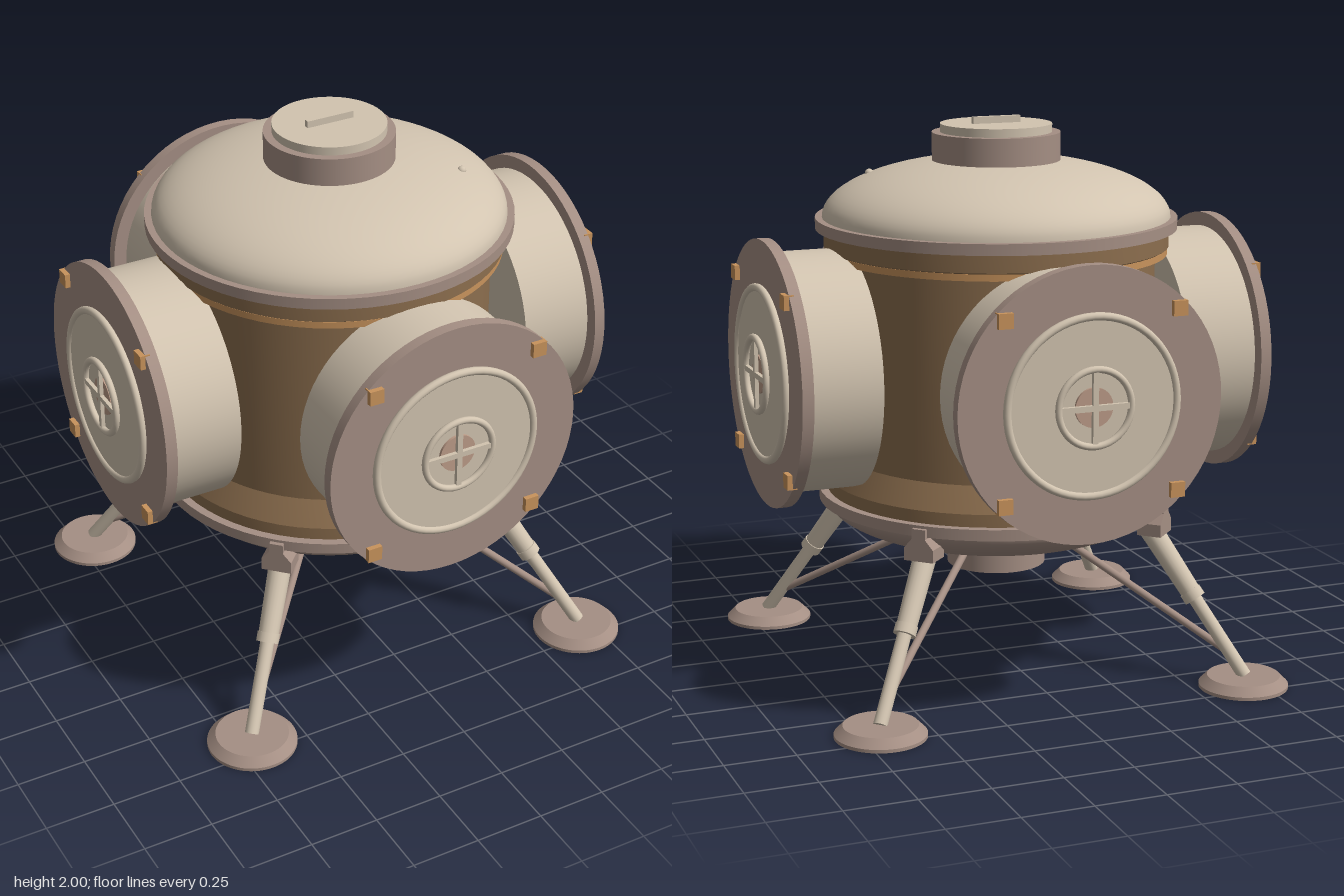
import * as THREE from 'three';
import { toCreasedNormals } from 'three/addons/utils/BufferGeometryUtils.js';

const material = (name, color) => {
  const m = new THREE.MeshStandardMaterial({ color });
  m.name = name;
  return m;
};

export function createModel() {
  const cream = material('cream', 0xd2c4b0);
  const mauve = material('mauve', 0xa58f84);
  const brown = material('brown', 0x8c6e4e);
  const copper = material('copper', 0xc8935c);
  const rose = material('rose', 0xbd9c88);

  const model = new THREE.Group();
  model.name = 'landerHabitat';

  const add = (parent, name, geometry, mat, x = 0, y = 0, z = 0) => {
    const mesh = new THREE.Mesh(geometry, mat);
    mesh.name = name;
    mesh.position.set(x, y, z);
    parent.add(mesh);
    return mesh;
  };
  // Upright cylinder between two heights
  const drum = (parent, name, r, y0, y1, mat, rTop = r) =>
    add(parent, name, new THREE.CylinderGeometry(rTop, r, y1 - y0, 64), mat, 0, (y0 + y1) / 2, 0);
  // Disc facing +z between two depths
  const disc = (parent, name, r, z0, z1, mat) =>
    add(parent, name, new THREE.CylinderGeometry(r, r, z1 - z0, 64).rotateX(Math.PI / 2), mat, 0, 0, (z0 + z1) / 2);
  // Rod between two points
  const rod = (parent, name, a, b, rA, rB, mat) => {
    const from = new THREE.Vector3(...a), dir = new THREE.Vector3(...b).sub(from);
    const mesh = add(parent, name, new THREE.CylinderGeometry(rB, rA, dir.length(), 20), mat);
    mesh.position.copy(from).addScaledVector(dir, 0.5);
    mesh.quaternion.setFromUnitVectors(new THREE.Vector3(0, 1, 0), dir.normalize());
  };
  const lathe = (points) => new THREE.LatheGeometry(points.map(([r, y]) => new THREE.Vector2(r, y)), 64);

  // Hull with flared lower and upper collars
  add(model, 'hull', toCreasedNormals(lathe([
    [0.62, 0.63], [0.62, 0.7], [0.572, 0.79], [0.572, 1.51], [0.62, 1.54], [0.62, 1.63],
  ]), 0.4), brown);
  drum(model, 'hullStripe', 0.615, 1.512, 1.536, copper);
  drum(model, 'lowerRim', 0.65, 0.615, 0.655, mauve);
  drum(model, 'upperRim', 0.65, 1.605, 1.645, mauve);

  // Elliptical domes
  const arc = (height, base) => Array.from({ length: 21 }, (_, i) => {
    const a = (i / 20) * Math.PI / 2;
    return [0.625 * Math.cos(a), base + height * Math.sin(a)];
  });
  add(model, 'upperDome', lathe(arc(0.215, 1.645)), cream);
  add(model, 'lowerDome', lathe(arc(-0.17, 0.62).reverse()), mauve);
  add(model, 'domeSensor', new THREE.SphereGeometry(0.016, 16, 12), cream, 0.405, 1.787, 0.22);

  // Top hatch and bottom fitting
  drum(model, 'topHatchCollar', 0.23, 1.8, 1.945, mauve);
  drum(model, 'topHatchLid', 0.2, 1.945, 1.975, cream);
  add(model, 'topHatchHandle', new THREE.BoxGeometry(0.18, 0.025, 0.02), cream, 0, 1.987, 0);
  drum(model, 'bottomFitting', 0.18, 0.355, 0.5, mauve);

  // Four docking ports
  for (let i = 0; i < 4; i++) {
    const port = new THREE.Group();
    port.name = 'dockingPort';
    port.position.y = 1.13;
    port.rotation.y = i * Math.PI / 2;
    model.add(port);
    disc(port, 'portTunnel', 0.425, 0.572, 0.84, cream);
    disc(port, 'portFlange', 0.475, 0.835, 0.876, mauve);
    disc(port, 'portHatch', 0.305, 0.87, 0.888, cream);
    add(port, 'portHatchSeal', new THREE.TorusGeometry(0.305, 0.014, 12, 64), cream, 0, 0, 0.885);
    disc(port, 'wheelHub', 0.068, 0.885, 0.897, rose);
    add(port, 'wheelRim', new THREE.TorusGeometry(0.131, 0.012, 12, 48), cream, 0, 0, 0.904);
    add(port, 'wheelSpokeAcross', new THREE.BoxGeometry(0.25, 0.02, 0.014), cream, 0, 0, 0.904);
    add(port, 'wheelSpokeUpright', new THREE.BoxGeometry(0.02, 0.25, 0.014), cream, 0, 0, 0.904);
    for (const sx of [-1, 1]) for (const sy of [-1, 1])
      add(port, 'latch', new THREE.BoxGeometry(0.052, 0.052, 0.035), copper, sx * 0.312, sy * 0.312, 0.877);
  }

  // Four landing legs, each built outward along +z and turned to a diagonal
  const bracketShape = new THREE.Shape([
    [-0.025, 0.645], [-0.025, 0.61], [-0.055, 0.575], [-0.055, 0.53],
    [0.055, 0.53], [0.055, 0.575], [0.025, 0.61], [0.025, 0.645],
  ].map(([x, y]) => new THREE.Vector2(x, y)));
  for (let i = 0; i < 4; i++) {
    const leg = new THREE.Group();
    leg.name = 'landingLeg';
    leg.rotation.y = Math.PI / 4 + i * Math.PI / 2;
    model.add(leg);
    add(leg, 'legBracket', new THREE.ExtrudeGeometry(bracketShape, { depth: 0.09, bevelEnabled: false }),
      mauve, 0, 0, 0.575);
    rod(leg, 'upperStrut', [0, 0.31, 0.775], [0, 0.56, 0.593], 0.036, 0.042, cream);
    rod(leg, 'strutCollar', [0, 0.302, 0.781], [0, 0.33, 0.76], 0.04, 0.04, cream);
    rod(leg, 'lowerStrut', [0, 0.04, 0.972], [0, 0.33, 0.76], 0.025, 0.025, cream);
    rod(leg, 'brace', [0, 0.13, 0.89], [0, 0.48, 0.24], 0.014, 0.014, mauve);
    const foot = new THREE.Group();
    foot.name = 'footPad';
    foot.position.z = 0.968;
    leg.add(foot);
    drum(foot, 'padBase', 0.16, 0, 0.012, mauve);
    drum(foot, 'padTop', 0.16, 0.012, 0.042, mauve, 0.13);
  }
  return model;
}
